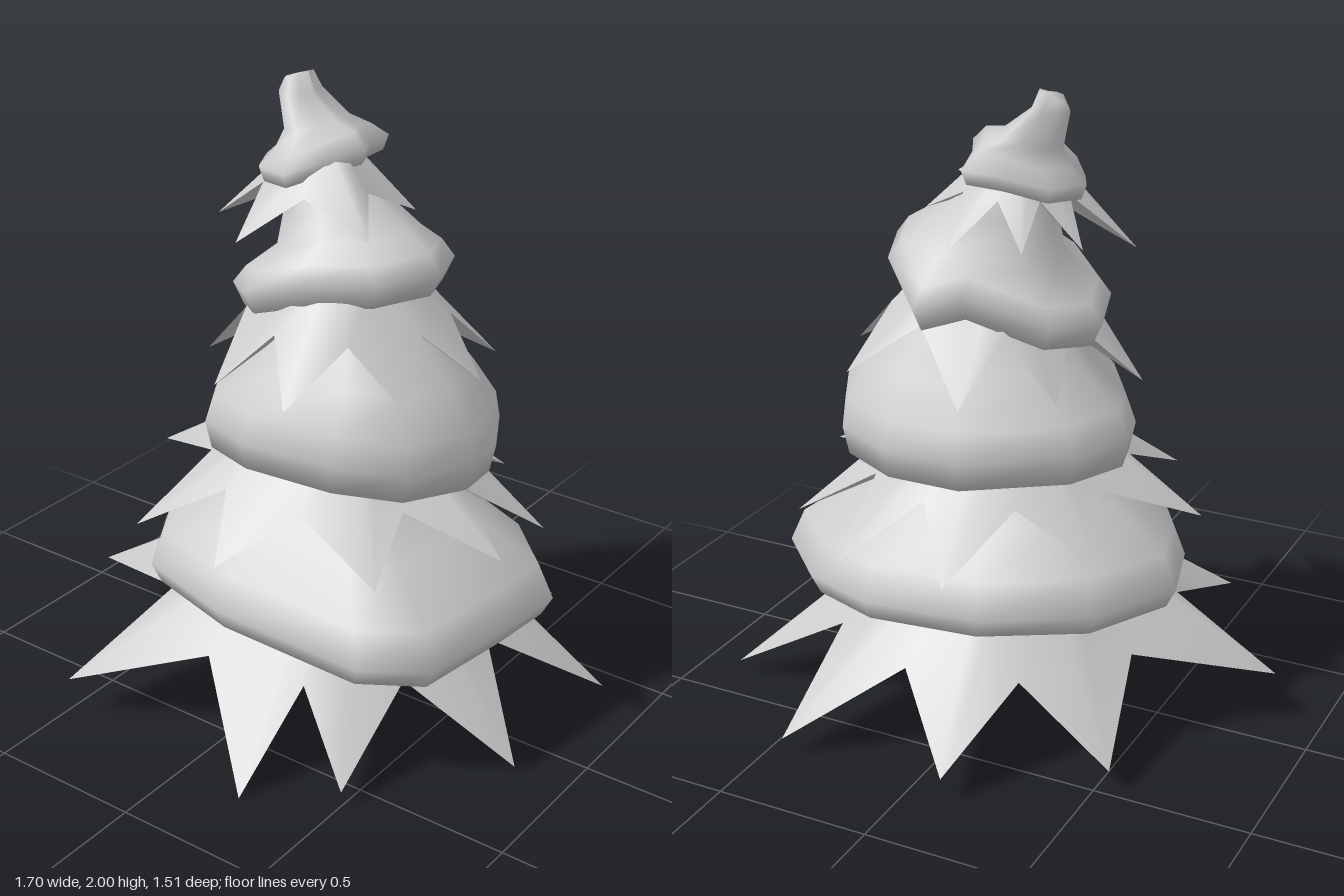
import * as THREE from 'three';

const material = new THREE.MeshStandardMaterial({ color: 0xcccccc, side: THREE.DoubleSide });

// Skin a stack of closed rings (bottom to top), each an equal-length list of [x, y, z]
function loft(name, rings) {
  const n = rings[0].length, index = [];
  for (let r = 0; r < rings.length - 1; r++) {
    for (let i = 0; i < n; i++) {
      const j = (i + 1) % n, a = r * n, b = a + n;
      index.push(a + i, b + i, a + j, a + j, b + i, b + j);
    }
  }
  const geometry = new THREE.BufferGeometry();
  geometry.setAttribute('position', new THREE.Float32BufferAttribute(rings.flat(2), 3));
  geometry.setIndex(index);
  geometry.computeVertexNormals();
  const mesh = new THREE.Mesh(geometry, material);
  mesh.name = name;
  return mesh;
}

// Jagged foliage cone with a hollow underside: tips [x, y, z] alternate with computed valleys
function skirt(name, [cx, cz], tips, [valleyR, valleyY], [topR, topY]) {
  const angle = (p) => Math.atan2(p[2] - cz, p[0] - cx);
  const around = (a, r, y) => [cx + r * Math.cos(a), y, cz + r * Math.sin(a)];
  const sorted = [...tips].sort((p, q) => angle(p) - angle(q));
  const edge = [], top = [];
  sorted.forEach((p, i) => {
    const a = angle(p);
    let b = angle(sorted[(i + 1) % sorted.length]);
    if (b < a) b += Math.PI * 2;
    const mid = (a + b) / 2;
    edge.push(p, around(mid, valleyR, valleyY));
    top.push(around(a, topR, topY), around(mid, topR, topY));
  });
  const centre = edge.map(() => [cx, topY - 0.08, cz]);
  const group = new THREE.Group();
  group.name = name;
  group.add(loft(name + 'Needles', [edge, top]), loft(name + 'Underside', [centre, edge]));
  return group;
}

// Snow cap: rim points [x, z, lift], rings [scale, y, tilt, centreX, centreZ]
function snow(name, [cx, cz], rim, rings) {
  return loft(name, rings.map(([k, y, tilt = 1, x = cx, z = cz]) =>
    rim.map(([px, pz, lift]) => [x + (px - cx) * k, y + lift * tilt, z + (pz - cz) * k])));
}

export function createModel() {
  const tree = new THREE.Group();
  tree.name = 'snowyTree';

  // Foliage skirts, bottom to top
  tree.add(
    skirt('bottomFoliage', [0.05, 0], [
      [-0.85, 0.17, 0.12], [-0.55, 0.08, -0.5], [-0.12, 0.08, -0.76], [0.44, 0.06, -0.75],
      [0.85, 0.04, -0.37], [0.83, 0.02, 0.15], [0.5, 0.05, 0.6], [0.23, 0, 0.75], [-0.48, 0.13, 0.72],
    ], [0.54, 0.28], [0.28, 0.56]),
    skirt('lowerFoliage', [0.06, 0], [
      [-0.6, 0.69, 0.07], [-0.34, 0.65, 0.52], [0, 0.63, 0.56], [0.49, 0.65, 0.42], [0.73, 0.69, 0.11],
      [0.65, 0.6, -0.28], [0.33, 0.61, -0.57], [-0.04, 0.61, -0.59], [-0.42, 0.66, -0.33],
    ], [0.41, 0.79], [0.22, 0.97]),
    skirt('upperFoliage', [0.09, 0], [
      [-0.38, 1.09, 0.1], [-0.13, 1.13, 0.38], [0.19, 1.16, 0.46], [0.45, 1.14, 0.22], [0.52, 1.15, -0.08],
      [0.42, 1.13, -0.33], [0, 1.1, -0.4], [-0.25, 1.11, -0.25],
    ], [0.31, 1.31], [0.17, 1.46]),
    skirt('topFoliage', [-0.01, -0.01], [
      [-0.37, 1.53, 0.05], [-0.11, 1.56, 0.29], [0.33, 1.64, 0.24],
      [0.25, 1.62, -0.12], [0.08, 1.55, -0.33], [-0.15, 1.57, -0.28], [-0.28, 1.56, -0.14],
    ], [0.18, 1.69], [0.1, 1.79]),
  );

  // Puffy snow layers, each running up under the foliage above it
  tree.add(
    snow('bottomSnow', [0.08, 0.03], [
      [0.75, -0.18, -0.02], [0.73, 0.05, -0.02], [0.68, 0.4, -0.02], [0.5, 0.53, -0.01], [0, 0.55, 0.02],
      [-0.35, 0.45, 0.02], [-0.5, 0.2, 0.03], [-0.57, -0.05, 0.03], [-0.42, -0.33, 0.03],
      [-0.1, -0.49, 0.02], [0.3, -0.48, -0.01], [0.55, -0.38, -0.02],
    ], [[0.6, 0.44], [0.95, 0.385], [1, 0.45], [0.93, 0.56], [0.66, 0.68], [0.45, 0.81], [0.3, 0.92]]),
    snow('middleSnow', [0.1, 0], [
      [0.58, 0.05, -0.02], [0.49, 0.27, 0], [0.3, 0.38, 0.02], [0, 0.42, 0.03], [-0.22, 0.32, 0],
      [-0.36, 0.1, -0.01], [-0.4, -0.05, -0.01], [-0.31, -0.25, -0.01], [0, -0.41, -0.03],
      [0.25, -0.41, -0.03], [0.46, -0.3, -0.03], [0.57, -0.1, -0.02],
    ], [[0.6, 0.92], [0.96, 0.87], [1, 0.96], [0.95, 1.05, 1, 0.11], [0.74, 1.17, 1, 0.14],
      [0.51, 1.32, 0.5, 0.11], [0.33, 1.43, 0, 0.08]]),
    snow('upperSnow', [0.05, -0.03], [
      [0.42, 0, 0.08], [0.3, 0.16, 0.06], [0.1, 0.26, 0.05], [-0.1, 0.27, -0.01], [-0.26, 0.12, -0.06],
      [-0.32, -0.08, -0.09], [-0.22, -0.24, -0.07], [0.03, -0.31, 0.01], [0.17, -0.36, -0.03], [0.34, -0.2, 0.06],
    ], [[0.55, 1.38], [0.9, 1.335], [1, 1.41], [0.88, 1.465], [0.64, 1.53, 0.7, 0.07],
      [0.5, 1.62, 0.2, 0.04], [0.34, 1.71, 0, 0.01]]),
    snow('topSnow', [-0.04, -0.02], [
      [0.15, 0, 0.05], [0.06, 0.08, 0.02], [0, 0.2, 0], [-0.12, 0.16, -0.01], [-0.19, 0.07, -0.04],
      [-0.24, -0.03, -0.04], [-0.18, -0.16, -0.03], [-0.05, -0.2, 0], [0.06, -0.25, 0.02], [0.1, -0.1, 0.04],
    ], [[0, 1.76], [0.5, 1.74], [0.92, 1.72], [1, 1.765], [0.75, 1.81], [0.5, 1.85, 0.5, -0.07, -0.04],
      [0.33, 1.94, 0, -0.125, -0.04], [0.22, 1.985, 0.3, -0.135, -0.05], [0, 1.99, 0, -0.13, -0.05]]),
  );
  return tree;
}
